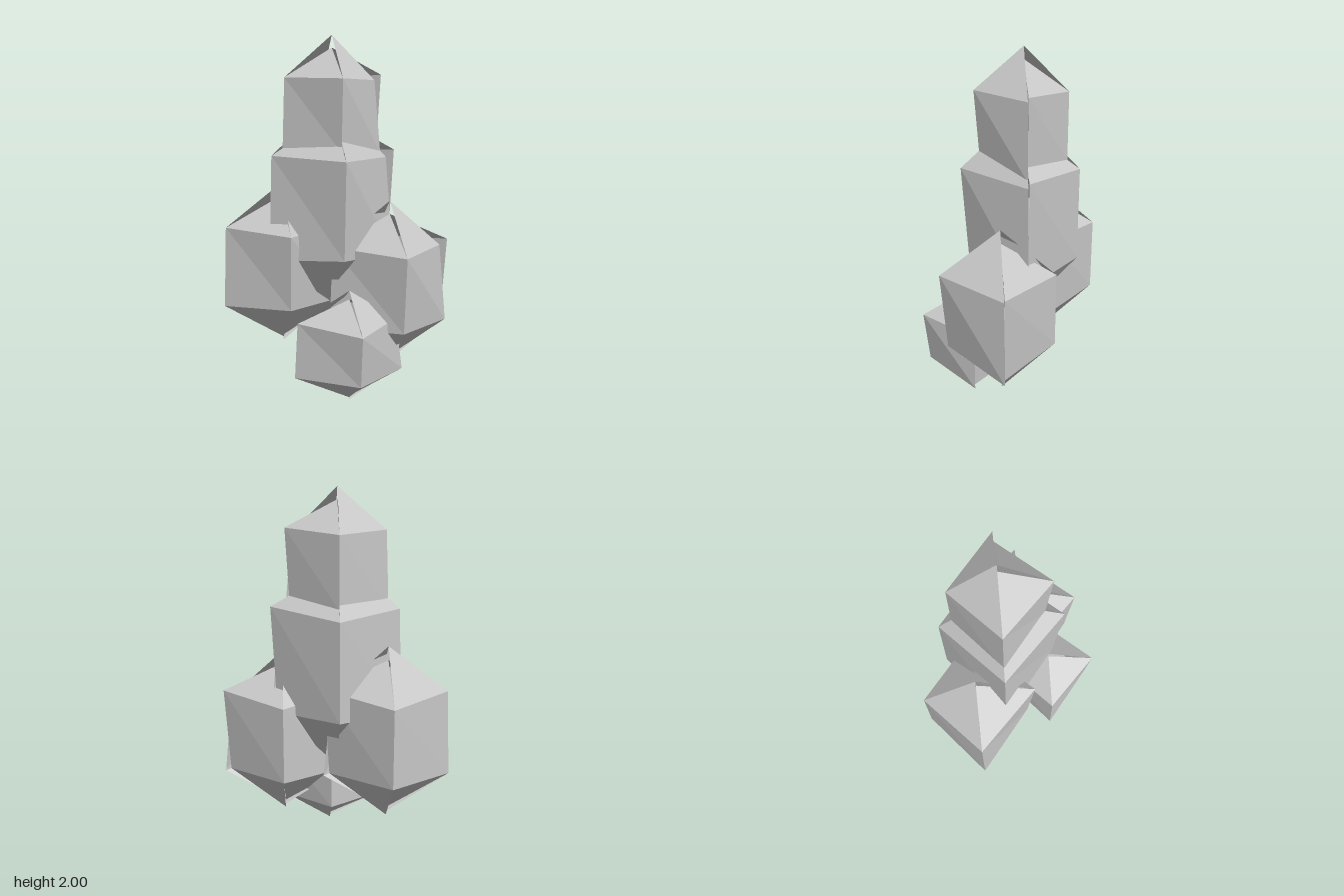
import * as THREE from 'three';

const stone = new THREE.MeshStandardMaterial({ color: 0xc8c8c8, side: THREE.DoubleSide });
stone.name = 'pale grey stone';

// Shoulder and lower corners as [radius, height], running from +x round by the back, right open at the +x seam
const SHOULDER = [[0.345, 0.723], [0.30, 0.693], [0.325, 0.71], [0.325, 0.71], [0.30, 0.69]];
const LOWER = [[0.315, 0.25], [0.30, 0.27], [0.345, 0.24], [0.29, 0.28], [0.347, 0.237]];
// Each of the four sides ends in its own peak and tip, leaving small cracks
const PEAK = [0.885, 0.96, 0.885, 0.96];
const TIP = [0, 0.045, 0.02, 0.033];

// Four-sided rough crystal standing on y = 0
function crystalGeometry() {
  const corner = (ring, k) => {
    const [r, y] = ring[k], a = (k * Math.PI) / 2;
    return [r * Math.cos(a), y, -r * Math.sin(a)];
  };
  const points = [];
  for (let k = 0; k < 4; k++) {
    const tl = corner(SHOULDER, k), tr = corner(SHOULDER, k + 1);
    const bl = corner(LOWER, k), br = corner(LOWER, k + 1);
    points.push(
      tl, tr, [0, PEAK[k], 0], // cap
      tl, bl, br, tl, br, tr,  // wall
      bl, [0, TIP[k], 0], br   // point below
    );
  }
  const geometry = new THREE.BufferGeometry();
  geometry.setAttribute('position', new THREE.Float32BufferAttribute(points.flat(), 3));
  geometry.computeVertexNormals();
  return geometry;
}

export function createModel() {
  const group = new THREE.Group();
  group.name = 'crystalCluster';
  const geometry = crystalGeometry();

  // name, position of the lower tip, width scale, height scale
  const crystals = [
    ['upperCrystal', [-0.018, 1.136, -0.065], 0.81, 0.9],
    ['middleCrystal', [-0.018, 0.457, -0.065], 1.05, 1.26],
    ['leftCrystal', [0.28, 0.14, 0.08], 1.005, 1],
    ['rightCrystal', [-0.284, 0.215, -0.217], 1, 1],
    ['smallFrontCrystal', [0.012, 0.004, 0.228], 0.885, 0.665],
  ];
  for (const [name, position, width, height] of crystals) {
    const mesh = new THREE.Mesh(geometry, stone);
    mesh.name = name;
    mesh.position.set(...position);
    mesh.scale.set(width, height, width);
    group.add(mesh);
  }
  return group;
}
